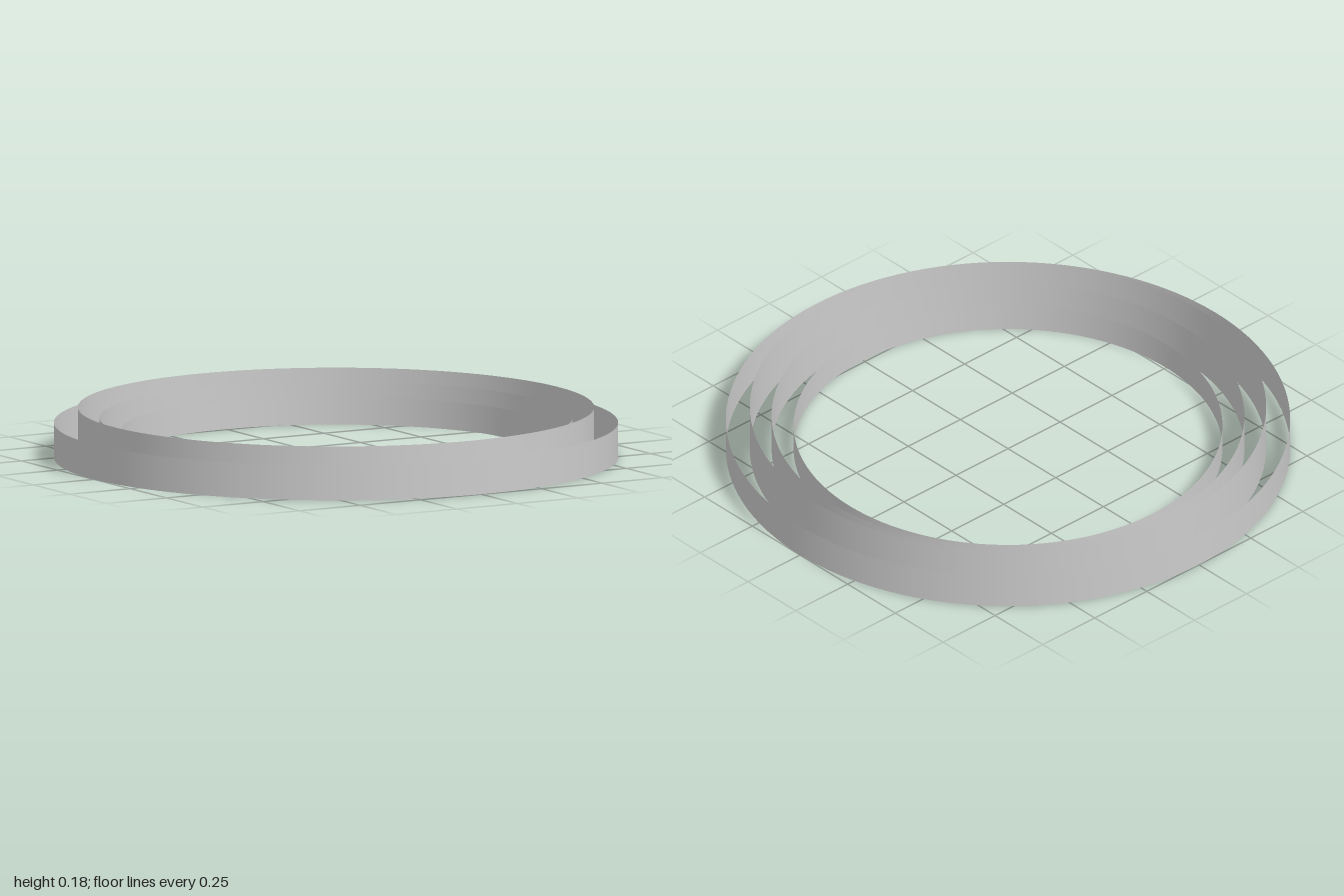
import * as THREE from 'three';

export function createModel() {
  const model = new THREE.Group();
  model.name = 'concentricRings';
  const material = new THREE.MeshStandardMaterial({ color: 0xcccccc, side: THREE.DoubleSide });

  // Thin open walls sharing one base plane: name, radius, height
  const rings = [
    ['outerWall', 1, 0.125],
    ['tallWall', 0.915, 0.18],
    ['middleWall', 0.838, 0.142],
    ['innerWall', 0.76, 0.1],
  ];
  for (const [name, radius, height] of rings) {
    const wall = new THREE.Mesh(
      new THREE.CylinderGeometry(radius, radius, height, 128, 1, true),
      material
    );
    wall.name = name;
    wall.position.y = height / 2;
    model.add(wall);
  }
  return model;
}
